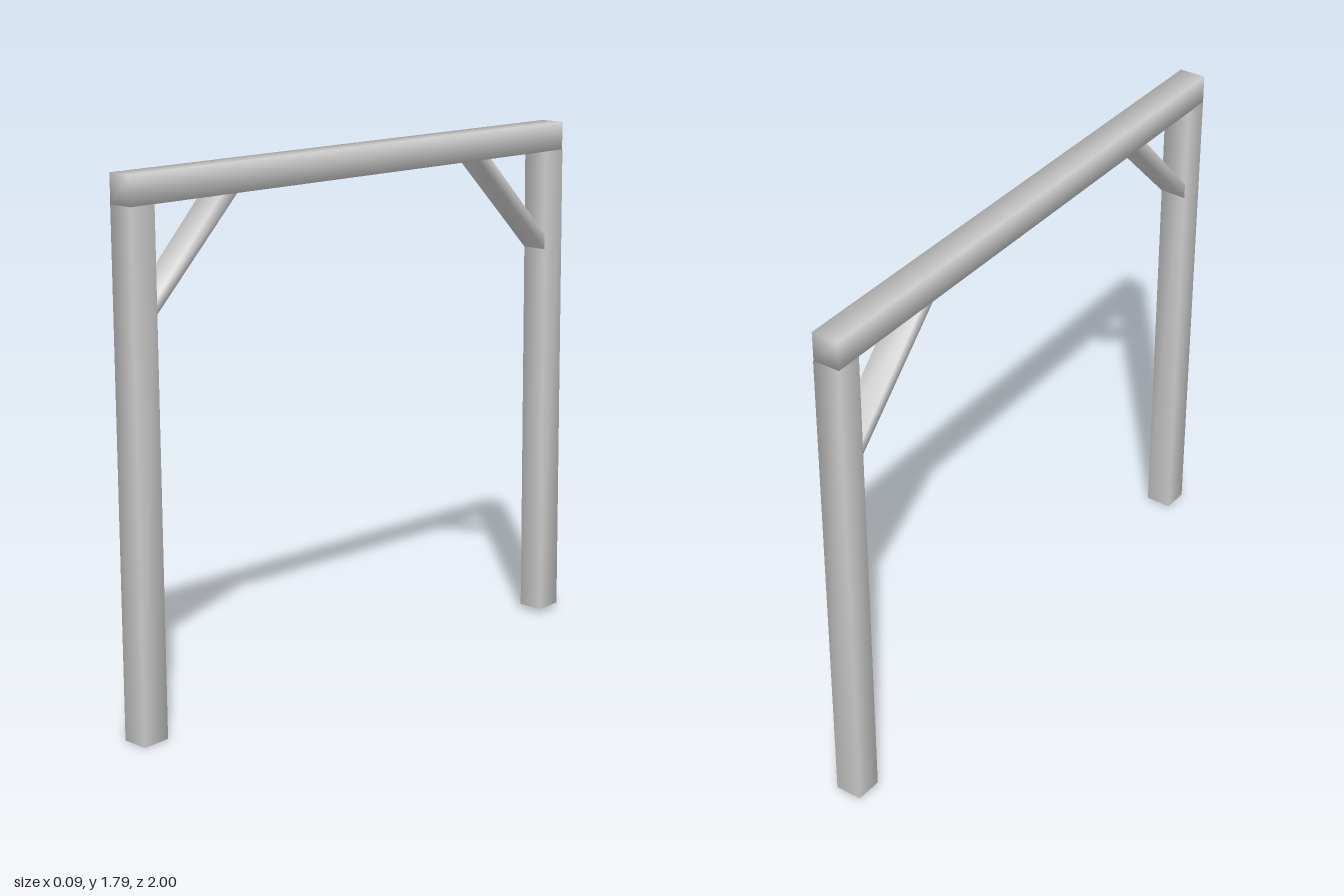
import * as THREE from 'three';
import { mergeVertices } from 'three/addons/utils/BufferGeometryUtils.js';

const HALF_WIDTH = 0.046;
const material = new THREE.MeshStandardMaterial({ color: 0xcccccc });

// Timber with a four-cornered side outline, given as [z, y] counter-clockwise:
// low back, low front, high front, high back. Normals are smooth over the corners.
function timber(name, [lowBack, lowFront, highFront, highBack]) {
  let geometry = new THREE.BoxGeometry(2, 2, 2);
  const p = geometry.attributes.position;
  for (let i = 0; i < p.count; i++) {
    const front = p.getZ(i) > 0;
    const high = p.getY(i) > 0;
    const [z, y] = high ? (front ? highFront : highBack) : (front ? lowFront : lowBack);
    p.setXYZ(i, Math.sign(p.getX(i)) * HALF_WIDTH, y, z);
  }
  geometry.deleteAttribute('normal');
  geometry.deleteAttribute('uv');
  geometry = mergeVertices(geometry);
  geometry.computeVertexNormals();
  const mesh = new THREE.Mesh(geometry, material);
  mesh.name = name;
  return mesh;
}

export function createModel() {
  const group = new THREE.Group();
  group.name = 'timberFrame';
  group.add(
    // Slightly leaning posts
    timber('frontPost', [[0.895, 0.004], [0.99, 0], [1, 1.678], [0.907, 1.679]]),
    timber('backPost', [[-1, 0.02], [-0.905, 0.016], [-0.89, 1.69], [-0.983, 1.692]]),
    // Top beam, rising a little to the back
    timber('topBeam', [[-0.981, 1.692], [1, 1.678], [1, 1.773], [-0.981, 1.789]]),
    // Diagonal braces, cut flush to post and beam
    timber('frontBrace', [[0.905, 1.347], [0.905, 1.4], [0.642, 1.681], [0.575, 1.681]]),
    timber('backBrace', [[-0.893, 1.4], [-0.893, 1.347], [-0.537, 1.689], [-0.602, 1.689]])
  );
  return group;
}
